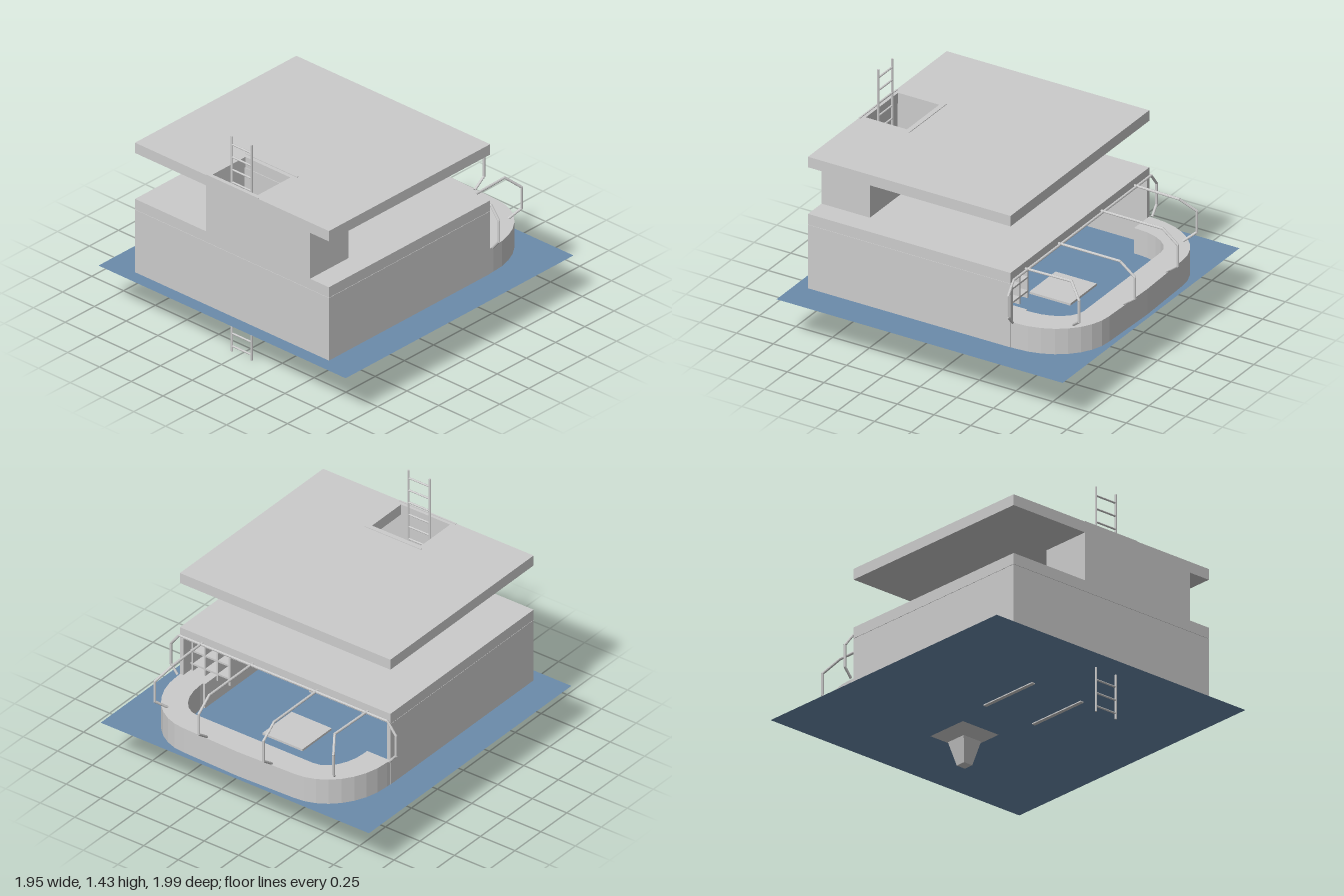
import * as THREE from 'three';

const grey = new THREE.MeshStandardMaterial({ color: 0xcccccc, flatShading: true });
const blue = new THREE.MeshStandardMaterial({ color: 0x6b8bab, side: THREE.DoubleSide });

function add(parent, name, geometry, material = grey) {
  const mesh = new THREE.Mesh(geometry, material);
  mesh.name = name;
  parent.add(mesh);
  return mesh;
}

// Box given by its limits on each axis
function block(parent, name, [x0, x1], [y0, y1], [z0, z1]) {
  const mesh = add(parent, name, new THREE.BoxGeometry(x1 - x0, y1 - y0, z1 - z0));
  mesh.position.set((x0 + x1) / 2, (y0 + y1) / 2, (z0 + z1) / 2);
  return mesh;
}

// Rectangle in plan, as shape points (x, -z)
function rect(x0, x1, z0, z1) {
  return [[x0, -z1], [x1, -z1], [x1, -z0], [x0, -z0]].map(p => new THREE.Vector2(...p));
}

// Plan outline with optional hole, raised from y0 to y1
function prism(parent, name, outline, hole, y0, y1) {
  const shape = new THREE.Shape(outline);
  if (hole) shape.holes.push(new THREE.Path(hole));
  const geometry = new THREE.ExtrudeGeometry(shape, { depth: y1 - y0, bevelEnabled: false });
  geometry.rotateX(-Math.PI / 2).translate(0, y0, 0);
  return add(parent, name, geometry);
}

// Round bar between two points
function bar(parent, name, a, b, radius = 0.008) {
  const p = new THREE.Vector3(...a), q = new THREE.Vector3(...b);
  const dir = q.clone().sub(p);
  const mesh = add(parent, name, new THREE.CylinderGeometry(radius, radius, dir.length() + radius, 8));
  mesh.position.copy(p).add(q).multiplyScalar(0.5);
  mesh.quaternion.setFromUnitVectors(new THREE.Vector3(0, 1, 0), dir.normalize());
}

// Quarter arc in plan from the right side to the back
function arc(cx, cs, rx, rs, steps) {
  return Array.from({ length: steps + 1 }, (_, i) => {
    const t = (i / steps) * Math.PI / 2;
    return new THREE.Vector2(cx + rx * Math.cos(t), cs + rs * Math.sin(t));
  });
}
const mirrored = pts => pts.map(p => new THREE.Vector2(-p.x, p.y)).reverse();

export function createModel() {
  const model = new THREE.Group();
  model.name = 'house';

  // Flat base sheet
  const base = add(model, 'baseSheet', new THREE.PlaneGeometry(1.945, 1.95), blue);
  base.rotation.x = -Math.PI / 2;
  base.position.set(0, 0.282, 0.02);

  // Lower storey, open at the back, and its ceiling slab
  const W = 0.763, T = 0.025, Y0 = 0.283;
  block(model, 'frontWall', [-W, W], [Y0, 0.70], [0.91 - T, 0.91]);
  for (const s of [-1, 1]) {
    const x = [s * W, s * (W - T)].sort((a, b) => a - b);
    block(model, 'sideWall', x, [Y0, 0.70], [-0.47, 0.91 - T]);
  }
  block(model, 'lowerSlab', [-W, W], [0.702, 0.772], [-0.47, 0.91]);

  // Stair tower and roof with a hatch opening
  prism(model, 'tower', rect(-0.205, 0.615, 0.58, 0.91), rect(-0.18, 0.59, 0.605, 0.885), 0.772, 1.078);
  prism(model, 'roof', rect(-W, W, -0.47, 0.91), rect(-0.18, 0.175, 0.60, 0.88), 1.078, 1.147);
  for (const z of [0.57, 0.905]) {
    block(model, 'hatchEdge', [-0.205, 0.205], [1.14, 1.151], [z - 0.005, z + 0.005]);
  }

  // Long ladder through the whole house
  const ladder = new THREE.Group();
  ladder.name = 'ladder';
  model.add(ladder);
  for (const x of [-0.06, 0.095]) bar(ladder, 'ladderRail', [x, 0.004, 0.845], [x, 1.432, 0.845], 0.007);
  for (let i = 0; i < 17; i++) {
    const y = 0.037 + i * 0.084;
    bar(ladder, 'rung', [-0.06, y, 0.845], [0.095, y, 0.845], 0.006);
  }

  // Curved parapet ring around the rear terrace
  const outer = arc(0.4, 0.5, 0.36, 0.418, 8), inner = arc(0.42, 0.5, 0.175, 0.26, 6);
  const ring = [
    new THREE.Vector2(0.76, 0.47), ...outer, new THREE.Vector2(0, 0.93), ...mirrored(outer),
    new THREE.Vector2(-0.76, 0.47), new THREE.Vector2(-0.595, 0.47),
    ...mirrored(inner).reverse(), ...inner.slice().reverse(), new THREE.Vector2(0.595, 0.47),
  ];
  prism(model, 'parapet', ring, null, Y0, 0.45);

  // Bent railings: out from the slab, down, and back in to the parapet
  function railing(name, start, knee, [dx, dz]) {
    const at = (d, y) => [knee[0] + dx * d, y, knee[1] + dz * d];
    const path = [[start[0], 0.728, start[1]], at(0, 0.728), at(0.1, 0.65), at(0.1, 0.51), at(0.025, 0.455)];
    const group = new THREE.Group();
    group.name = name;
    model.add(group);
    for (let i = 1; i < path.length; i++) bar(group, 'railBar', path[i - 1], path[i]);
  }
  for (const s of [-1, 1]) {
    railing('rearRailing', [s * 0.235, -0.47], [s * 0.235, -0.89], [0, -1]);
    railing('cornerRailing', [s * 0.6, -0.47], [s * 0.592, -0.78], [s * 0.55, -0.85]);
    railing('sideRailing', [s * 0.6, -0.487], [s * 0.755, -0.487], [s * 0.6, 0]);
  }
  bar(model, 'crossRail', [-0.755, 0.728, -0.487], [0.755, 0.728, -0.487]);

  // Funnel under the base with its cover on the floor
  const funnel = new THREE.Group();
  funnel.name = 'funnel';
  funnel.position.set(0, 0, -0.355);
  model.add(funnel);
  for (const [top, bottom, y0, y1] of [[0.14, 0.07, 0.24, 0.281], [0.068, 0.032, 0.09, 0.24]]) {
    const g = new THREE.CylinderGeometry(top * Math.SQRT2, bottom * Math.SQRT2, y1 - y0, 4);
    g.rotateY(Math.PI / 4).translate(0, (y0 + y1) / 2, 0);
    add(funnel, 'funnelSection', g);
  }
  block(model, 'funnelCover', [-0.145, 0.145], [Y0, 0.297], [-0.495, -0.215]);

  // Table on two loop-shaped legs
  for (const x of [-0.19, 0.19]) {
    const xs = [x - 0.012, x + 0.012];
    block(model, 'tableFoot', xs, [0.275, 0.297], [0.03, 0.45]);
    for (const z of [0.03, 0.426]) block(model, 'tableLeg', xs, [0.297, 0.45], [z, z + 0.024]);
  }
  block(model, 'tableTop', [-0.205, 0.205], [0.45, 0.472], [0.03, 0.45]);

  // Bench along the left wall with open shelves on it
  block(model, 'bench', [0.58, W - T], [Y0, 0.45], [-0.47, 0.35]);
  for (const y of [0.49, 0.58, 0.67]) block(model, 'shelf', [0.45, W - T], [y, y + 0.012], [-0.4, -0.2]);
  for (const x of [0.45, 0.54, 0.63, 0.72]) block(model, 'shelfDivider', [x, x + 0.012], [0.45, 0.68], [-0.4, -0.2]);

  return model;
}
